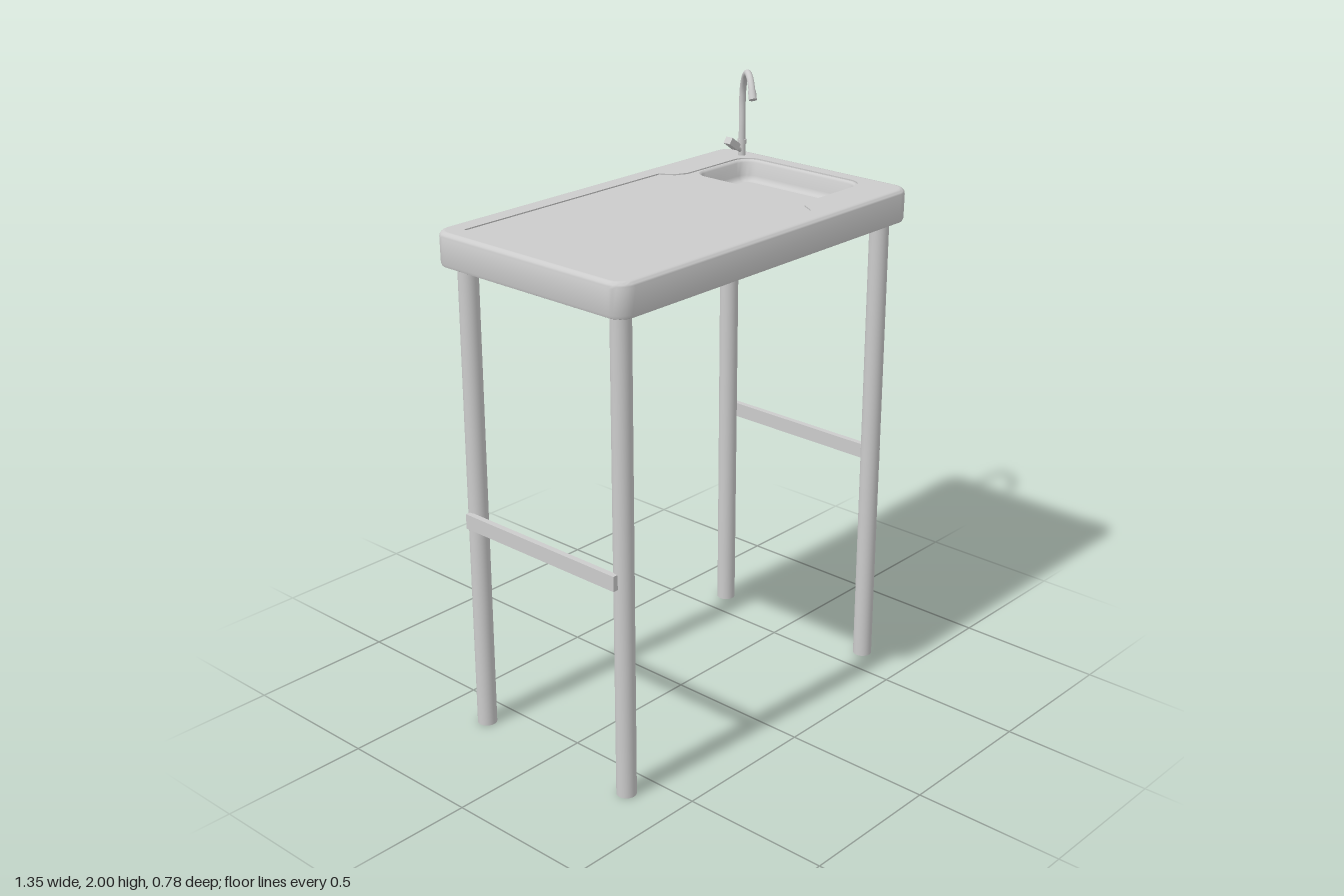
import * as THREE from 'three';
import { toCreasedNormals } from 'three/addons/utils/BufferGeometryUtils.js';

const material = new THREE.MeshStandardMaterial({ color: 0xcccccc });

// Counter-clockwise outline points, plan coordinates (x, -z)
function roundedRect(x0, x1, y0, y1, r, inset = 0, n = 8) {
  const rad = Math.max(r - inset, 0.005), pts = [];
  const k = inset + rad;
  const centres = [[x1 - k, y1 - k], [x0 + k, y1 - k], [x0 + k, y0 + k], [x1 - k, y0 + k]];
  centres.forEach(([cx, cy], c) => {
    for (let i = 0; i <= n; i++) {
      const a = (c + i / n) * Math.PI / 2;
      pts.push(new THREE.Vector2(cx + rad * Math.cos(a), cy + rad * Math.sin(a)));
    }
  });
  return pts;
}

// Skin through outlines of equal length, each at its own height
function skin(rings) {
  const pos = [];
  const add = (ring, i) => {
    const p = ring.pts[i % ring.pts.length];
    pos.push(p.x, ring.y, -p.y);
  };
  for (let r = 0; r < rings.length - 1; r++) {
    const a = rings[r], b = rings[r + 1];
    for (let i = 0; i < a.pts.length; i++) {
      add(a, i); add(a, i + 1); add(b, i + 1);
      add(a, i); add(b, i + 1); add(b, i);
    }
  }
  const g = new THREE.BufferGeometry();
  g.setAttribute('position', new THREE.Float32BufferAttribute(pos, 3));
  return toCreasedNormals(g, 0.7);
}

// Flat horizontal face with an optional opening
function plate(pts, y, hole, down = false) {
  const shape = new THREE.Shape(pts);
  if (hole) shape.holes.push(new THREE.Path(hole));
  const g = new THREE.ShapeGeometry(shape);
  if (down) {
    const idx = g.index.array;
    for (let i = 0; i < idx.length; i += 3) [idx[i], idx[i + 1]] = [idx[i + 1], idx[i]];
    g.computeVertexNormals();
  }
  return g.rotateX(-Math.PI / 2).translate(0, y, 0);
}

function mesh(parent, name, geometry, x = 0, y = 0, z = 0) {
  const m = new THREE.Mesh(geometry, material);
  m.name = name;
  m.position.set(x, y, z);
  parent.add(m);
  return m;
}

function group(parent, name) {
  const g = new THREE.Group();
  g.name = name;
  parent.add(g);
  return g;
}

function buildTabletop(parent) {
  const top = group(parent, 'tabletop');
  const bottomY = 1.58, topY = 1.69, recessY = 1.686;
  const slab = (inset, y) => ({ pts: roundedRect(-0.675, 0.675, -0.39, 0.395, 0.06, inset), y });
  const bowl = (inset, y) => ({ pts: roundedRect(0.335, 0.61, -0.24, 0.255, 0.06, inset), y });

  // Rounded rim
  const rim = [slab(0.012, bottomY), slab(0.004, bottomY + 0.004), slab(0.001, bottomY + 0.013)];
  const R = 0.018;
  for (let i = 0; i <= 5; i++) {
    const a = i / 5 * Math.PI / 2;
    rim.push(slab(R * (1 - Math.cos(a)), topY - R + R * Math.sin(a)));
  }
  mesh(top, 'rim', skin(rim));
  mesh(top, 'underside', plate(rim[0].pts, bottomY, null, true));

  // Shallow work area that narrows and runs around the basin
  const around = roundedRect(0.33, 0.615, -0.245, 0.26, 0.06);
  const V = (x, y) => new THREE.Vector2(x, y);
  const recess = [
    ...around.slice(27), ...around.slice(0, 9),
    V(0.32, 0.26), V(0.28, 0.28), V(0.25, 0.325), V(-0.605, 0.325),
    V(-0.605, -0.315), V(0.25, -0.315), V(0.28, -0.265), V(0.32, -0.245),
  ];
  mesh(top, 'topSurface', plate(rim[rim.length - 1].pts, topY, recess));
  mesh(top, 'workAreaEdge', skin([{ pts: recess, y: topY }, { pts: recess, y: recessY }]));

  // Basin with a soft lip and a filleted floor
  const basin = [
    bowl(0, recessY), bowl(0.004, recessY - 0.002), bowl(0.008, recessY - 0.008),
    bowl(0.013, 1.635), bowl(0.016, 1.626), bowl(0.022, 1.619), bowl(0.032, 1.616),
  ];
  mesh(top, 'workArea', plate(recess, recessY, basin[0].pts));
  mesh(top, 'basinWall', skin(basin));
  mesh(top, 'basinFloor', plate(basin[basin.length - 1].pts, 1.616));
}

function buildFaucet(parent) {
  const faucet = group(parent, 'faucet');
  faucet.position.set(0.617, 1.69, -0.28);
  faucet.rotation.y = Math.atan2(-0.13, -0.1); // local +x follows the spout

  // Gooseneck
  const path = new THREE.CatmullRomCurve3([
    [0, -0.005], [0, 0.1], [0, 0.19], [0.01, 0.238], [0.04, 0.28], [0.08, 0.297],
    [0.115, 0.286], [0.142, 0.26], [0.16, 0.23],
  ].map(([x, y]) => new THREE.Vector3(x, y, 0)));
  mesh(faucet, 'gooseneck', new THREE.TubeGeometry(path, 64, 0.0115, 14));

  // Nozzle sleeve at the tip
  const end = path.getPoint(1), dir = path.getTangent(1);
  const nozzle = mesh(faucet, 'nozzle', new THREE.CylinderGeometry(0.0135, 0.0135, 0.03, 16));
  nozzle.position.copy(end).addScaledVector(dir, -0.01);
  nozzle.quaternion.setFromUnitVectors(new THREE.Vector3(0, 1, 0), dir);

  mesh(faucet, 'base', new THREE.CylinderGeometry(0.013, 0.013, 0.04, 16), 0, 0.02, 0);
  mesh(faucet, 'collar', new THREE.CylinderGeometry(0.0155, 0.0155, 0.016, 16), 0, 0.048, 0);

  // Lever rising sideways from the base
  const lever = group(parent, 'lever');
  lever.position.set(0.617, 1.703, -0.28);
  lever.rotation.z = THREE.MathUtils.degToRad(55);
  mesh(lever, 'leverStem', new THREE.CylinderGeometry(0.008, 0.008, 0.05, 12), 0, 0.025, 0);
  mesh(lever, 'leverHandle', new THREE.BoxGeometry(0.024, 0.052, 0.028), 0, 0.062, 0);
}

export function createModel() {
  const model = new THREE.Group();
  model.name = 'sinkTable';
  buildTabletop(model);
  buildFaucet(model);

  // Legs and the side braces fixed to their outer faces
  for (const side of [1, -1]) {
    const label = side > 0 ? 'left' : 'right';
    for (const end of [1, -1]) {
      mesh(model, label + (end > 0 ? 'FrontLeg' : 'BackLeg'),
        new THREE.CylinderGeometry(0.032, 0.032, 1.585, 24), side * 0.602, 0.7925, end * 0.318);
    }
    mesh(model, label + 'Brace', new THREE.BoxGeometry(0.02, 0.05, 0.645), side * 0.641, 0.745, 0);
  }
  return model;
}
